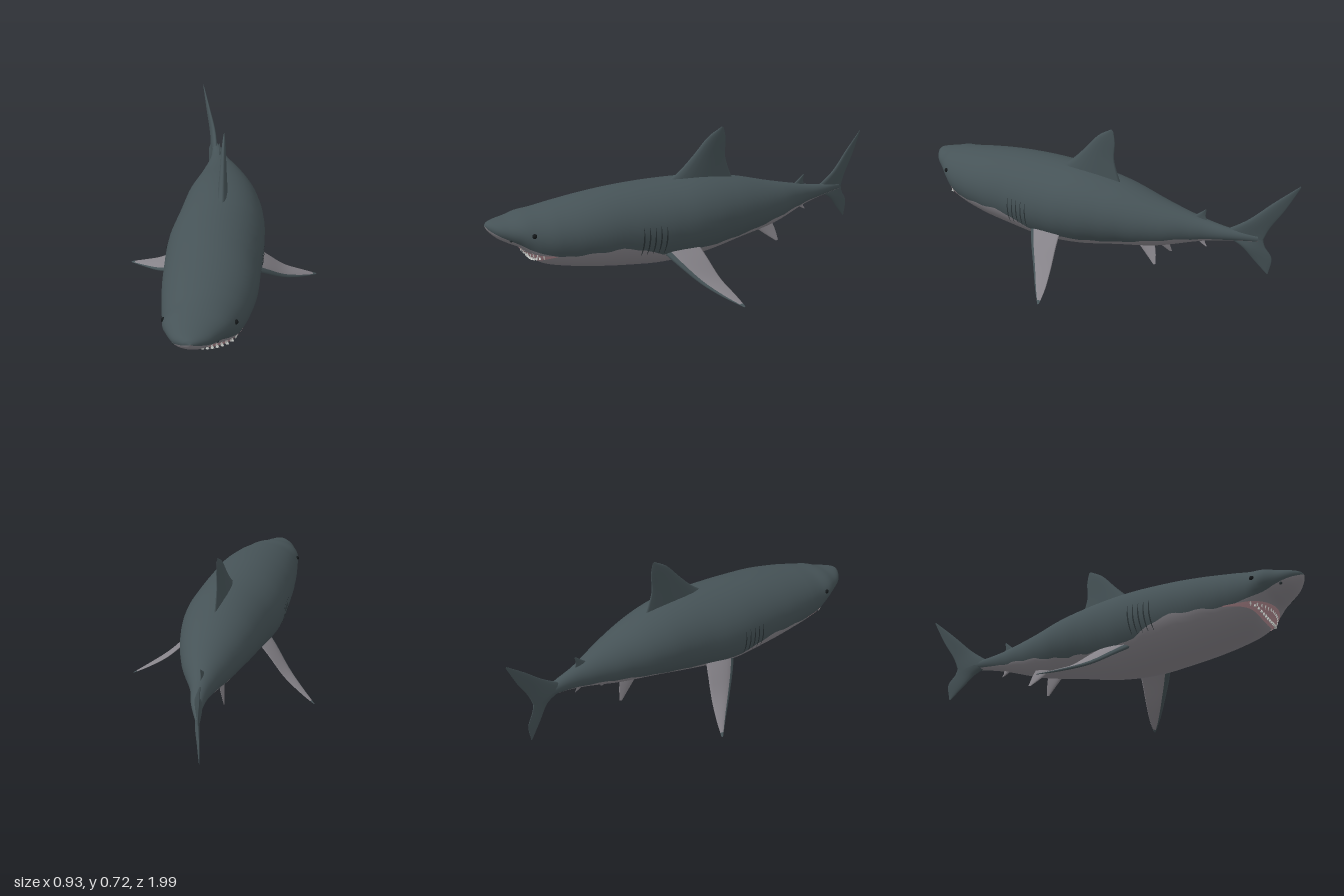
import * as THREE from 'three';

const mat = (name, color, side = THREE.FrontSide) => {
  const m = new THREE.MeshStandardMaterial({ color, side });
  m.name = name;
  return m;
};

// Body stations from nose to tail: z, centre x, half width, top y, bottom y, height of colour edge
const STATIONS = [
  [0.997, -0.08, 0.001, 0.358, 0.355, 0.356],
  [0.985, -0.08, 0.032, 0.37, 0.332, 0.345],
  [0.95, -0.078, 0.075, 0.38, 0.298, 0.325],
  [0.9, -0.073, 0.107, 0.392, 0.27, 0.302],
  [0.86, -0.066, 0.132, 0.406, 0.252, 0.283],
  [0.83, -0.06, 0.147, 0.414, 0.225, 0.268],
  [0.78, -0.05, 0.163, 0.424, 0.178, 0.252],
  [0.7, -0.04, 0.184, 0.442, 0.153, 0.236],
  [0.55, -0.03, 0.208, 0.468, 0.131, 0.243],
  [0.4, -0.027, 0.216, 0.486, 0.114, 0.248],
  [0.2, -0.02, 0.222, 0.498, 0.105, 0.19],
  [0.0, -0.005, 0.205, 0.5, 0.13, 0.2],
  [-0.2, -0.008, 0.172, 0.474, 0.175, 0.225],
  [-0.4, -0.018, 0.117, 0.425, 0.215, 0.27],
  [-0.6, -0.045, 0.048, 0.38, 0.277, 0.298],
  [-0.72, -0.062, 0.027, 0.36, 0.304, 0.312],
  [-0.84, -0.095, 0.006, 0.34, 0.315, 0.318],
];

// Smooth body section at any z
function section(z) {
  const S = STATIONS, n = S.length;
  let i = 0;
  while (i < n - 2 && z < S[i + 1][0]) i++;
  const a = S[i], b = S[i + 1], p = S[Math.max(i - 1, 0)], q = S[Math.min(i + 2, n - 1)];
  const d = b[0] - a[0], t = THREE.MathUtils.clamp((z - a[0]) / d, 0, 1);
  const [, cx, w, top, bot, edge] = a.map((v, k) => {
    const m0 = d * (b[k] - p[k]) / (b[0] - p[0]), m1 = d * (q[k] - v) / (q[0] - a[0]);
    return v * (2 * t ** 3 - 3 * t * t + 1) + m0 * (t ** 3 - 2 * t * t + t)
      + b[k] * (3 * t * t - 2 * t ** 3) + m1 * (t ** 3 - t * t);
  });
  return { cx, w: Math.max(w, 0.001), cy: (top + bot) / 2, h: Math.max((top - bot) / 2, 0.001), edge };
}

// Point on the flank at (y, z), and depth of the head seen from the front at (x, y)
function flank(side, y, z, lift) {
  const s = section(z), k = (y - s.cy) / s.h;
  return [s.cx + side * (s.w * Math.sqrt(Math.max(0, 1 - k * k)) + lift), y, z];
}
function faceZ(x, y) {
  for (let z = 0.99; z > 0.4; z -= 0.001) {
    const s = section(z);
    if (((x - s.cx) / s.w) ** 2 + ((y - s.cy) / s.h) ** 2 <= 1) return z;
  }
  return 0.4;
}

// Surface from closed rings; paint(i, j) picks the material index of each quad
function loft(rings, forward, paint) {
  const n = rings[0].length, lists = [[], []];
  for (let i = 0; i < rings.length - 1; i++) {
    for (let j = 0; j < n; j++) {
      const a = i * n + j, b = i * n + (j + 1) % n, c = a + n, d = b + n;
      lists[paint(i, j)].push(...(forward ? [a, b, c, b, d, c] : [a, c, b, b, c, d]));
    }
  }
  const g = new THREE.BufferGeometry();
  g.setAttribute('position', new THREE.Float32BufferAttribute(rings.flat(2), 3));
  g.setIndex(lists.flat());
  g.addGroup(0, lists[0].length, 0);
  g.addGroup(lists[0].length, lists[1].length, 1);
  g.computeVertexNormals();
  return g;
}

// Open patch from a function of u, v in 0..1
function patch(nu, nv, f) {
  const g = new THREE.PlaneGeometry(1, 1, nu, nv), p = g.attributes.position;
  for (let i = 0; i < p.count; i++) p.setXYZ(i, ...f(p.getX(i) + 0.5, p.getY(i) + 0.5));
  g.computeVertexNormals();
  return g;
}

// Fin with a rounded front edge, lofted from leading and trailing edges
function finGeometry(lead, trail, thick, paint = () => 0) {
  const V = a => new THREE.CatmullRomCurve3(a.map(p => new THREE.Vector3(...p)));
  const L = V(lead), T = V(trail), rows = 16, N = 16, rings = [];
  for (let i = 0; i <= rows; i++) {
    const t = i / rows, le = L.getPoint(t), te = T.getPoint(t);
    const span = L.getTangent(t).add(T.getTangent(t));
    const half = le.clone().sub(te).multiplyScalar(0.5), mid = le.clone().add(te).multiplyScalar(0.5);
    const normal = span.cross(half).normalize();
    const th = thick * (1 - t) ** 0.8 + 0.0015;
    rings.push(Array.from({ length: N }, (_, j) => {
      const a = (j / N) * Math.PI * 2;
      return mid.clone().addScaledVector(half, Math.cos(a))
        .addScaledVector(normal, th * Math.sin(a) * (0.65 + 0.35 * Math.cos(a))).toArray();
    }));
  }
  return loft(rings, true, paint);
}

export function createModel() {
  const shark = new THREE.Group();
  shark.name = 'shark';
  const back = mat('slate back', 0x465357), belly = mat('grey belly', 0x868389);
  const gum = mat('pink mouth', 0xb58d93, THREE.DoubleSide), ivory = mat('ivory teeth', 0xd3d6d2);
  const dark = mat('gill shadow', 0x2b3437, THREE.DoubleSide), black = mat('black eye', 0x14181a);
  const add = (name, geometry, material, parent = shark) => {
    const m = new THREE.Mesh(geometry, material);
    m.name = name;
    parent.add(m);
    return m;
  };

  // Body: dark arc above the colour edge, pale arc below it
  const UP = 24, LOW = 20, STEP = 5, rings = [];
  for (let i = 0; i <= (STATIONS.length - 1) * STEP; i++) {
    const k = Math.min(Math.floor(i / STEP), STATIONS.length - 2);
    const z = THREE.MathUtils.lerp(STATIONS[k][0], STATIONS[k + 1][0], i / STEP - k);
    const s = section(z), ripple = z < 0.7 && z > -0.6 ? 0.004 * Math.sin(z * 47) : 0;
    const e = Math.asin(THREE.MathUtils.clamp((s.edge + ripple - s.cy) / s.h, -0.95, 0.95));
    rings.push(Array.from({ length: UP + LOW }, (_, j) => {
      const a = j < UP ? e + (Math.PI - 2 * e) * j / UP
        : Math.PI - e + (Math.PI + 2 * e) * (j - UP) / LOW;
      return [s.cx + s.w * Math.cos(a), s.cy + s.h * Math.sin(a), z];
    }));
  }
  add('body', loft(rings, false, (i, j) => (j < UP ? 0 : 1)), [back, belly]);

  // Mouth: lens-shaped band following the jaw
  const mouthX = u => -0.045 + 0.166 * u;
  const upperLip = u => 0.246 - 0.008 * u * u, lowerLip = u => 0.19 + 0.045 * u * u;
  add('mouth', patch(48, 8, (u, v) => {
    const k = u * 2 - 1, x = mouthX(k), y = THREE.MathUtils.lerp(lowerLip(k), upperLip(k), v);
    return [x, y, faceZ(x, y) + 0.004];
  }), gum);

  // Teeth: upper row points down, lower row points up
  const teeth = new THREE.Group();
  teeth.name = 'teeth';
  shark.add(teeth);
  for (const [count, reach, upper] of [[15, 0.82, true], [13, 0.74, false]]) {
    for (let i = 0; i < count; i++) {
      const k = reach * (2 * i / (count - 1) - 1), x = mouthX(k);
      const len = (upper ? 0.03 : 0.021) * (1 - 0.45 * k * k);
      const y = upper ? upperLip(k) - len / 2 : lowerLip(k) + 0.006 + len / 2;
      const t = add(upper ? 'upperTooth' : 'lowerTooth', new THREE.ConeGeometry(0.0085, len, 5), ivory, teeth);
      t.position.set(x, y, faceZ(x, y) + 0.005);
      if (upper) t.rotation.z = Math.PI;
      t.scale.z = 0.7;
    }
  }

  // Eyes, nostrils and gill slits on both sides
  for (const side of [1, -1]) {
    const label = side > 0 ? 'left' : 'right';
    const eye = add(label + 'Eye', new THREE.SphereGeometry(0.011, 16, 12), black);
    eye.position.set(...flank(side, 0.335, 0.81, -0.003));
    const nx = -0.067 + side * 0.088;
    const nostril = add(label + 'Nostril', new THREE.SphereGeometry(0.007, 12, 8), dark);
    nostril.position.set(nx, 0.305, faceZ(nx, 0.305) - 0.003);
    for (let i = 0; i < 5; i++) {
      const z0 = 0.345 - i * 0.027;
      add(label + 'Gill', patch(1, 10, (u, v) => flank(side, 0.205 + 0.135 * v,
        z0 - 0.02 * v + 0.012 * v * v + (u - 0.5) * 0.007 * Math.sin(Math.PI * (0.08 + 0.84 * v)), 0.003)), dark);
    }
  }

  // Pectoral fins: pale with dark leading edge and tip; the right one sweeps further back
  for (const [side, sweep, name] of [[1, 0, 'leftPectoralFin'], [-1, 0.065, 'rightPectoralFin']]) {
    const P = (x, y, z, k) => [side * x, y, z - sweep * k];
    add(name, finGeometry(
      [P(0.14, 0.205, 0.24, 0), P(0.21, 0.152, 0.188, 0.1), P(0.3, 0.08, 0.11, 0.4), P(0.39, 0.034, 0.035, 0.8), P(0.465, 0.004, -0.033, 1)],
      [P(0.14, 0.225, 0.06, 0), P(0.21, 0.17, 0.04, 0.3), P(0.3, 0.09, 0.01, 0.6), P(0.39, 0.04, -0.022, 0.8), P(0.462, 0.007, -0.04, 1)],
      0.02, (i, j) => (j < 2 || j > 13 || i > 14 ? 0 : 1)), [back, belly]);
  }

  // Pelvic fins
  for (const side of [1, -1]) {
    const P = (x, y, z) => [-0.02 + side * x, y, z];
    add(side > 0 ? 'leftPelvicFin' : 'rightPelvicFin', finGeometry(
      [P(0.045, 0.235, -0.27), P(0.06, 0.18, -0.34), P(0.078, 0.138, -0.4)],
      [P(0.045, 0.25, -0.38), P(0.06, 0.2, -0.4), P(0.078, 0.142, -0.412)], 0.01), [belly, belly]);
  }

  // Dorsal and anal fins, drawn in the z, y plane
  const upright = (x, pts) => pts.map(([z, y]) => [x, y, z]);
  add('dorsalFin', finGeometry(
    upright(0.002, [[0.17, 0.475], [0.09, 0.532], [0.02, 0.6], [-0.06, 0.685], [-0.128, 0.726]]),
    upright(0.002, [[-0.19, 0.455], [-0.165, 0.515], [-0.145, 0.585], [-0.148, 0.665], [-0.138, 0.72]]), 0.033), [back, back]);
  add('secondDorsalFin', finGeometry(
    upright(-0.043, [[-0.53, 0.375], [-0.57, 0.405], [-0.602, 0.432]]),
    upright(-0.046, [[-0.617, 0.36], [-0.602, 0.395], [-0.606, 0.43]]), 0.009), [back, back]);
  add('analFin', finGeometry(
    upright(-0.043, [[-0.54, 0.305], [-0.58, 0.265], [-0.613, 0.248]]),
    upright(-0.046, [[-0.61, 0.3], [-0.605, 0.268], [-0.616, 0.25]]), 0.008), [belly, belly]);

  // Tail lobes, bending toward the right
  const bent = pts => pts.map(([z, y]) => [-0.065 - 0.36 * Math.max(-0.75 - z, 0), y, z]);
  add('upperTailLobe', finGeometry(
    bent([[-0.69, 0.345], [-0.79, 0.415], [-0.89, 0.51], [-0.99, 0.599]]),
    bent([[-0.855, 0.31], [-0.88, 0.38], [-0.935, 0.475], [-0.993, 0.594]]), 0.017), [back, back]);
  add('lowerTailLobe', finGeometry(
    bent([[-0.69, 0.317], [-0.77, 0.285], [-0.83, 0.218], [-0.883, 0.16]]),
    bent([[-0.855, 0.35], [-0.868, 0.295], [-0.9, 0.24], [-0.89, 0.159]]), 0.015), [back, back]);

  return shark;
}
